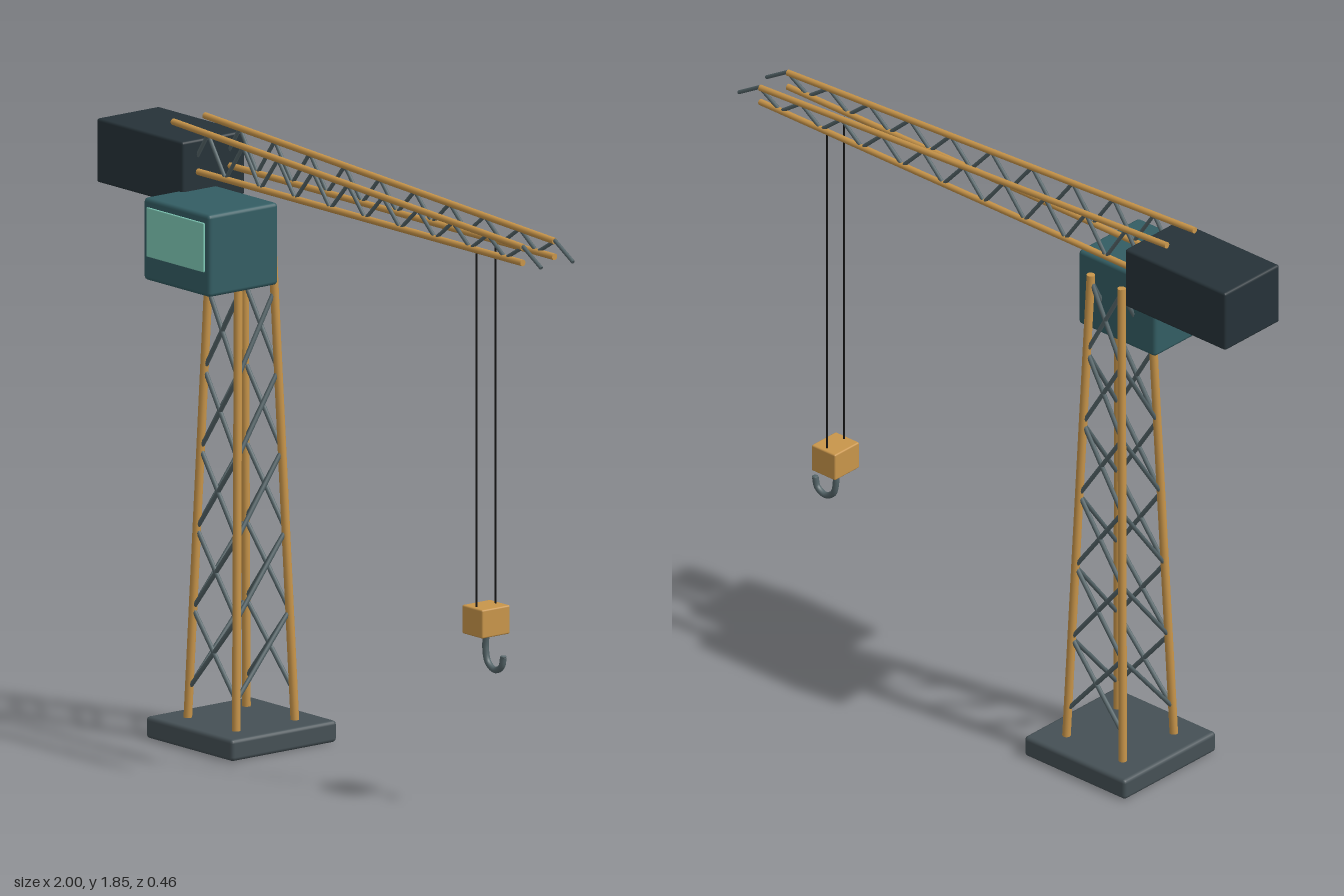
import * as THREE from 'three';
import { RoundedBoxGeometry } from 'three/addons/geometries/RoundedBoxGeometry.js';

const paint = (color) => new THREE.MeshStandardMaterial({ color });
const ORANGE = paint(0xc8954a), STEEL = paint(0x546468), BASE = paint(0x455055);
const CAB = paint(0x335d63), GLASS = paint(0x80cbb8), WEIGHT = paint(0x263238), CABLE = paint(0x151515);

const CX = -0.472, CZ = -0.028; // tower axis
const V = (x, y, z) => new THREE.Vector3(x, y, z);

// Round bar between two points
function bar(parent, name, a, b, r, mat, sides = 10) {
  const d = b.clone().sub(a);
  const mesh = new THREE.Mesh(new THREE.CylinderGeometry(r, r, d.length(), sides), mat);
  mesh.position.copy(a).add(b).multiplyScalar(0.5);
  mesh.quaternion.setFromUnitVectors(V(0, 1, 0), d.normalize());
  mesh.name = name;
  parent.add(mesh);
}

// Box with softened edges, given by its extents
function block(parent, name, [x0, x1], [y0, y1], [z0, z1], bevel, mat) {
  const mesh = new THREE.Mesh(new RoundedBoxGeometry(x1 - x0, y1 - y0, z1 - z0, 2, bevel), mat);
  mesh.position.set((x0 + x1) / 2, (y0 + y1) / 2, (z0 + z1) / 2);
  mesh.name = name;
  parent.add(mesh);
}

function makeGroup(parent, name) {
  const g = new THREE.Group();
  g.name = name;
  parent.add(g);
  return g;
}

// Tapering four-legged lattice tower
function buildTower(parent) {
  const tower = makeGroup(parent, 'tower');
  const corner = (sx, sz, y) => {
    const half = 0.1145 - 0.0327 * y;
    return V(CX + sx * half, y, CZ + sz * half);
  };
  for (const sx of [-1, 1]) for (const sz of [-1, 1])
    bar(tower, 'towerLeg', corner(sx, sz, 0.05), corner(sx, sz, 1.63), 0.013, ORANGE, 12);

  const bays = 6, y0 = 0.155, step = 0.243;
  for (let i = 0; i < bays; i++) {
    const lo = y0 + i * step, hi = lo + step;
    for (const s of [-1, 1]) {
      // crossed braces front and back, single diagonals on the sides
      bar(tower, 'crossBrace', corner(-1, s, lo), corner(1, s, hi), 0.007, STEEL, 8);
      bar(tower, 'crossBrace', corner(1, s, lo), corner(-1, s, hi), 0.007, STEEL, 8);
      bar(tower, 'sideBrace', corner(s, 1, lo), corner(s, -1, hi), 0.007, STEEL, 8);
    }
  }
}

// Two parallel trusses carrying the load
function buildJib(parent) {
  const jib = makeGroup(parent, 'jib');
  const x0 = -0.715, x1 = 0.91, low = 1.714, bays = 10;
  const pitch = (x1 - x0) / bays;
  const top = (x) => 1.845 - (0.083 * (x - x0)) / (x1 - x0);
  for (const z of [CZ - 0.061, CZ + 0.061]) {
    bar(jib, 'upperChord', V(x0, top(x0), z), V(x1, top(x1), z), 0.01, ORANGE);
    bar(jib, 'lowerChord', V(-0.7, low, z), V(x1, low, z), 0.01, ORANGE);
    for (let i = 0; i < bays; i++) {
      const a = x0 + i * pitch, m = a + pitch / 2, b = a + pitch;
      if (i > 0) bar(jib, 'lacing', V(a, top(a), z), V(m, low, z), 0.006, STEEL, 8);
      bar(jib, 'lacing', V(m, low, z), V(b, top(b), z), 0.006, STEEL, 8);
    }
    bar(jib, 'tipRod', V(x1, top(x1) + 0.003, z), V(0.996, 1.714, z), 0.006, STEEL, 8);
  }
}

// Cables, pulley block and hook
function buildHoist(parent) {
  const hoist = makeGroup(parent, 'hoist');
  for (const z of [CZ - 0.036, CZ + 0.038])
    bar(hoist, 'cable', V(0.666, 0.6, z), V(0.666, 1.714, z), 0.003, CABLE, 6);
  block(hoist, 'hookBlock', [0.618, 0.713], [0.533, 0.62], [CZ - 0.054, CZ + 0.054], 0.005, ORANGE);
  const path = new THREE.CatmullRomCurve3([
    V(0.667, 0.54, CZ), V(0.663, 0.49, CZ), V(0.674, 0.448, CZ),
    V(0.706, 0.43, CZ), V(0.737, 0.445, CZ), V(0.746, 0.477, CZ),
  ]);
  const hook = new THREE.Mesh(new THREE.TubeGeometry(path, 32, 0.01, 10), STEEL);
  hook.name = 'hook';
  hoist.add(hook);
  // closed end of the hook
  const tip = new THREE.Mesh(new THREE.SphereGeometry(0.01, 10, 8), STEEL);
  tip.scale.y = 0.4;
  tip.position.set(0.746, 0.477, CZ);
  tip.name = 'hookTip';
  hoist.add(tip);
}

export function createModel() {
  const crane = new THREE.Group();
  crane.name = 'towerCrane';
  block(crane, 'base', [CX - 0.202, CX + 0.202], [0, 0.066], [CZ - 0.202, CZ + 0.202], 0.012, BASE);
  buildTower(crane);
  buildJib(crane);
  block(crane, 'counterweight', [-1, -0.598], [1.618, 1.812], [-0.147, 0.093], 0.008, WEIGHT);
  // Operator cab with front window
  const cab = makeGroup(crane, 'cab');
  block(cab, 'cabBody', [-0.626, -0.318], [1.41, 1.66], [-0.044, 0.222], 0.012, CAB);
  block(cab, 'cabWindow', [-0.606, -0.339], [1.484, 1.634], [0.21, 0.227], 0.003, GLASS);
  buildHoist(crane);
  return crane;
}
